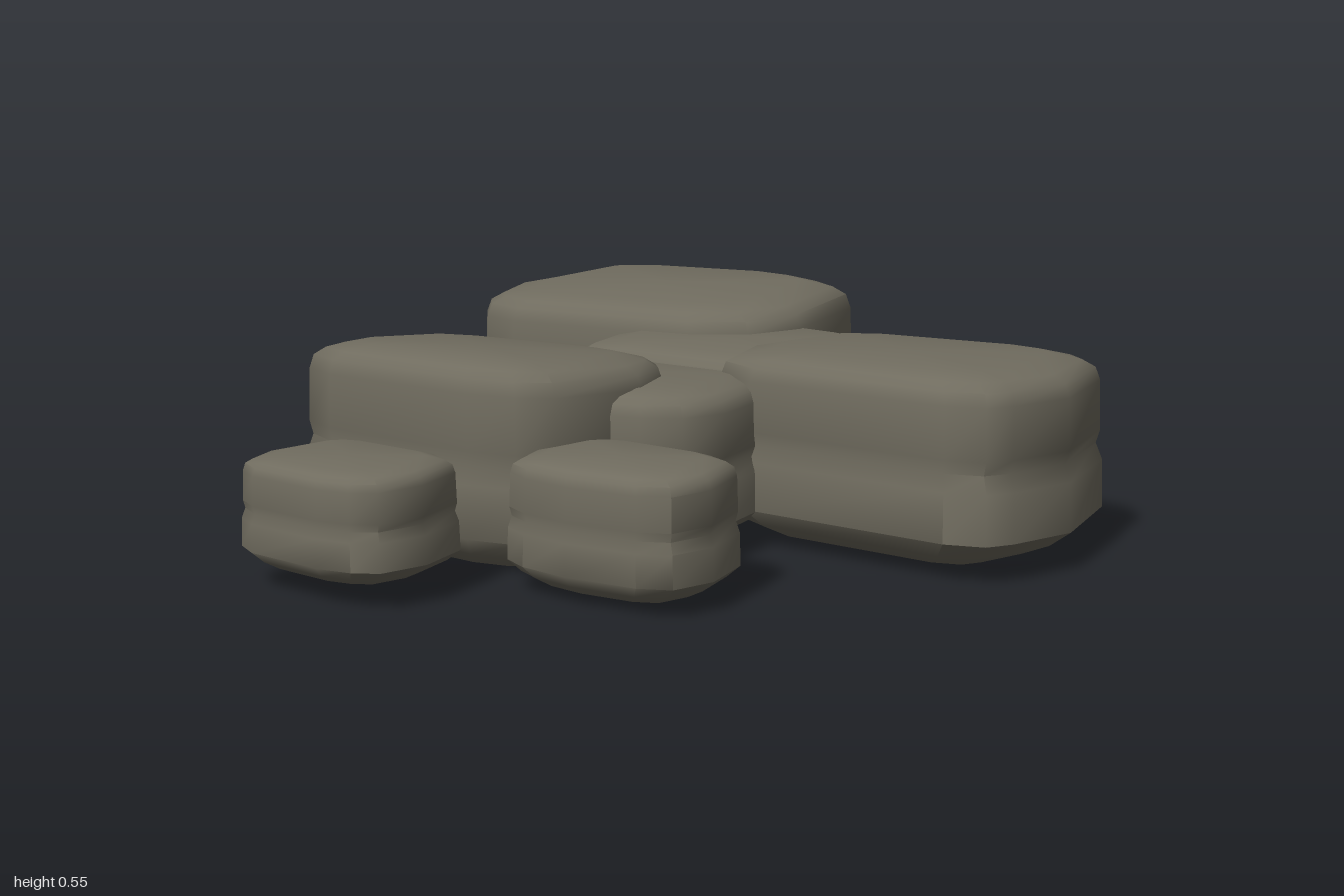
import * as THREE from 'three';
import { toCreasedNormals } from 'three/addons/utils/BufferGeometryUtils.js';

// Shared rock section, bottom to top: [height fraction, outline scale]
const PROFILE = [
  [0, 0.72], [0.07, 0.88], [0.16, 1], [0.42, 0.99], [0.51, 0.955], [0.58, 0.975],
  [0.85, 0.965], [0.92, 0.94], [0.96, 0.87], [0.995, 0.7],
];

// Plan of a rock: it touches each side of its rectangle at one point, with two points rounding each corner.
// touch = fractions along the [back, right, front, left] sides, measured from the left or the back
function rockOutline(x0, x1, z0, z1, [back, right, front, left]) {
  const points = [];
  const add = (u, v) => points.push([THREE.MathUtils.lerp(x0, x1, u), THREE.MathUtils.lerp(z0, z1, v)]);
  const corner = (u, v, toU, toV, sideFirst) => {
    const reachU = toU - u;
    const reachV = toV - v;
    const inset = (amount, reach) => Math.sign(reach) * Math.min(amount, Math.abs(reach) / 2);
    const onSide = [u + inset(0.06, reachU), v + inset(0.14, reachV)];
    const onEnd = [u + inset(0.2, reachU), v + inset(0.045, reachV)];
    for (const p of sideFirst ? [onSide, onEnd] : [onEnd, onSide]) add(...p);
  };
  add(back, 0);
  corner(1, 0, back, right, false);
  add(1, right);
  corner(1, 1, front, right, true);
  add(front, 1);
  corner(0, 1, front, left, false);
  add(0, left);
  corner(0, 0, back, left, true);
  return points;
}

// Lofts the shared section around an outline and closes both ends; slope tips the top along z
function rockGeometry([x0, x1, z0, z1], touch, bottom, top, slope) {
  const outline = rockOutline(x0, x1, z0, z1, touch);
  const n = outline.length;
  const cx = (x0 + x1) / 2;
  const cz = (z0 + z1) / 2;
  const positions = [];
  const index = [];
  for (const [t, s] of PROFILE) {
    for (const [x, z] of outline) {
      positions.push(
        cx + (x - cx) * s,
        bottom + (top - bottom) * t + slope * t * (z - cz),
        cz + (z - cz) * s,
      );
    }
  }
  positions.push(cx, bottom, cz, cx, top, cz);
  const lastRing = (PROFILE.length - 1) * n;
  const bottomCentre = PROFILE.length * n;
  for (let i = 0; i < n; i++) {
    const j = (i + 1) % n;
    for (let ring = 0; ring < lastRing; ring += n) {
      const a = ring + i;
      const b = ring + j;
      index.push(a, a + n, b, b, a + n, b + n);
    }
    index.push(bottomCentre, i, j, bottomCentre + 1, lastRing + j, lastRing + i);
  }
  const geometry = new THREE.BufferGeometry();
  geometry.setAttribute('position', new THREE.Float32BufferAttribute(positions, 3));
  geometry.setIndex(index);
  return toCreasedNormals(geometry, 0.85);
}

export function createModel() {
  const model = new THREE.Group();
  model.name = 'rockCluster';
  const stone = new THREE.MeshStandardMaterial({ color: 0x706c5f });
  stone.name = 'stone';

  const addRock = (name, ...shape) => {
    const rock = new THREE.Mesh(rockGeometry(...shape), stone);
    rock.name = name;
    model.add(rock);
  };

  // Large slabs
  addRock('backLeftRock', [-0.97, 0.07, -1, -0.26], [0.68, 0.64, 0.24, 0.62], 0.02, 0.53, -0.05);
  addRock('rightRock', [0.06, 0.975, -0.605, 0.05], [0.74, 0.59, 0.8, 0.6], 0.02, 0.465, 0);
  addRock('frontLeftRock', [-0.775, 0.125, 0, 0.59], [0.77, 0.41, 0.72, 0.64], 0, 0.47, 0.04);

  // Lower slabs wedged between them
  addRock('centreRock', [-0.43, 0.4, -0.635, -0.04], [0.6, 0.5, 0.85, 0.45], 0.03, 0.445, -0.02);
  addRock('middleRock', [-0.42, 0.3, -0.2, 0.36], [0.5, 0.66, 0.65, 0.5], 0.03, 0.405, 0);

  // Small outlying stones
  addRock('leftRock', [-0.975, -0.4, -0.225, 0.18], [0.3, 0.45, 0.5, 0.45], 0.04, 0.335, 0);
  addRock('smallRightRock', [0, 0.51, 0.335, 0.685], [0.25, 0.56, 0.45, 0.56], 0.02, 0.305, -0.02);
  addRock('smallFrontRock', [-0.505, -0.025, 0.645, 0.995], [0.25, 0.54, 0.65, 0.6], 0.045, 0.295, -0.02);
  return model;
}
